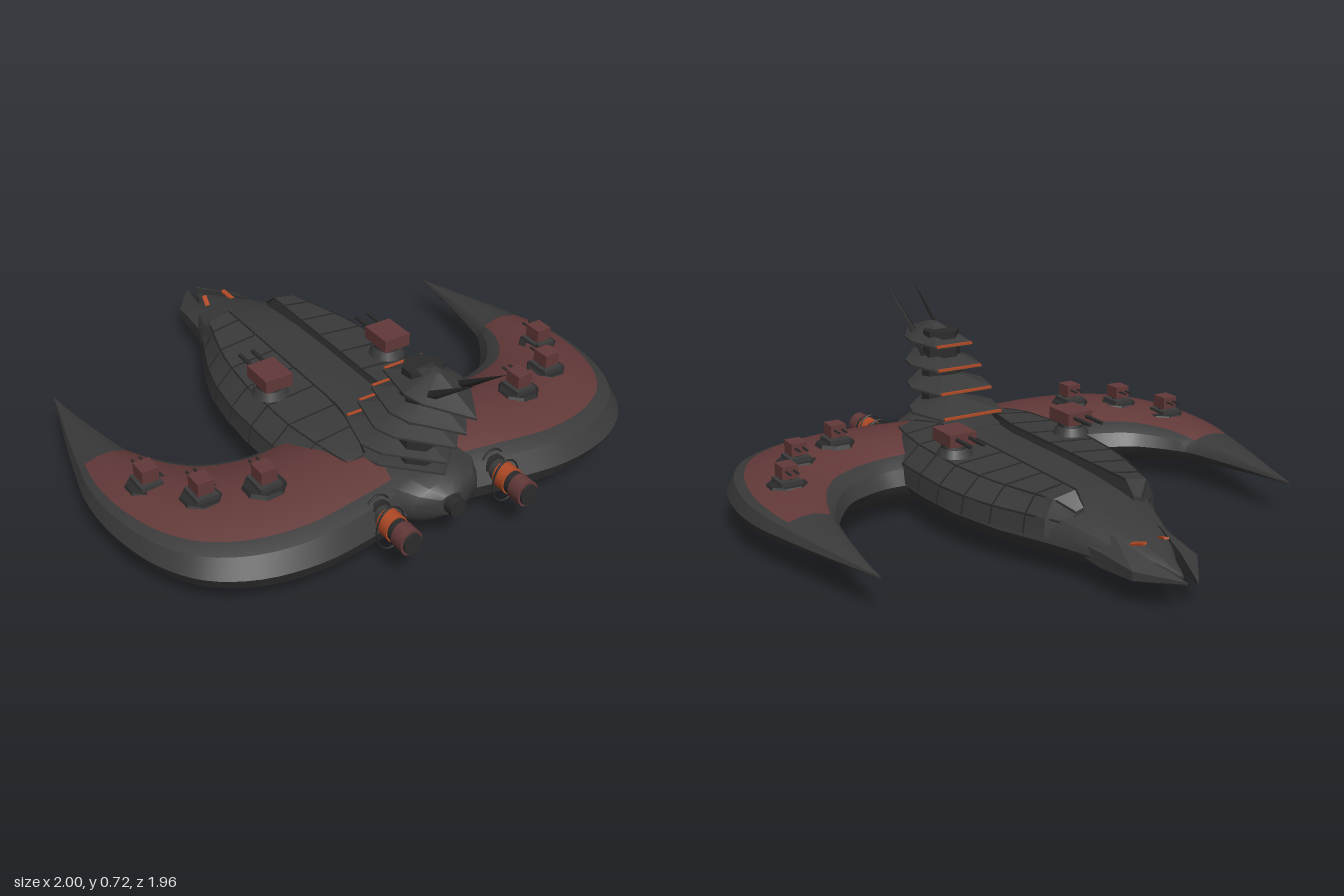
import * as THREE from 'three';
import { toCreasedNormals } from 'three/addons/utils/BufferGeometryUtils.js';

const paint = (name, color) => Object.assign(new THREE.MeshStandardMaterial({ color }), { name });
const HULL = paint('charcoal hull', 0x3a3a3a);
const RED = paint('dull red armour', 0x633939);
const ORANGE = paint('orange glow', 0xb04a26);
const DARK = paint('dark metal', 0x2b2b2b);

// Skin a row of closed rings; pick(i, j) chooses a material index per quad.
function loft(rings, { cap = true, crease = 0.5, pick = () => 0 } = {}) {
  const n = rings[0].length, buckets = [[], []];
  const id = (i, j) => i * n + (j % n);
  for (let i = 0; i < rings.length - 1; i++) {
    for (let j = 0; j < n; j++) {
      buckets[pick(i, j)].push(id(i, j), id(i, j + 1), id(i + 1, j + 1), id(i, j), id(i + 1, j + 1), id(i + 1, j));
    }
  }
  const last = rings.length - 1;
  for (let j = 1; cap && j < n - 1; j++) {
    buckets[0].push(0, j + 1, j, id(last, 0), id(last, j), id(last, j + 1));
  }
  const geo = new THREE.BufferGeometry();
  geo.setAttribute('position', new THREE.Float32BufferAttribute(rings.flat(2), 3));
  geo.setIndex(buckets.flat());
  if (buckets[1].length) {
    geo.addGroup(0, buckets[0].length, 0);
    geo.addGroup(buckets[0].length, buckets[1].length, 1);
  }
  return toCreasedNormals(geo, crease);
}

function add(parent, name, geo, mat, x = 0, y = 0, z = 0) {
  const mesh = new THREE.Mesh(geo, mat);
  mesh.name = name;
  mesh.position.set(x, y, z);
  parent.add(mesh);
  return mesh;
}
const box = (w, h, d) => new THREE.BoxGeometry(w, h, d);
const tubeZ = (r1, r2, len, sides = 16) => new THREE.CylinderGeometry(r1, r2, len, sides).rotateX(Math.PI / 2);

// Main hull: z, half width, edge height, top, bottom
function hullGeometry() {
  const stations = [
    [-0.93, 0.006, 0.11, 0.118, 0.104], [-0.85, 0.04, 0.11, 0.145, 0.09], [-0.7, 0.135, 0.115, 0.185, 0.06],
    [-0.5, 0.21, 0.12, 0.235, 0.035], [-0.3, 0.3, 0.125, 0.25, 0.02], [-0.1, 0.355, 0.13, 0.255, 0.008],
    [0.1, 0.37, 0.13, 0.255, 0], [0.3, 0.365, 0.13, 0.255, 0], [0.45, 0.33, 0.135, 0.255, 0.004],
    [0.6, 0.25, 0.14, 0.255, 0.02], [0.72, 0.185, 0.15, 0.25, 0.05], [0.79, 0.13, 0.16, 0.235, 0.09],
    [0.825, 0.05, 0.165, 0.205, 0.125]];
  const right = [[0.3, -0.98], [0.65, -0.8], [0.9, -0.42], [1, 0], [0.97, 0.35], [0.85, 0.72], [0.55, 0.93], [0.25, 1]];
  const profile = [...right, ...right.map(([x, y]) => [-x, y]).reverse()];
  return loft(stations.map(([z, w, e, t, b]) =>
    profile.map(([x, y]) => [x * w, e + y * (y > 0 ? t - e : e - b), z])), { crease: 0.6 });
}

// Crescent wing: outer x, z, inner x, z, top, bottom
function wingGeometry() {
  const stations = [
    [0.1, 0.76, 0.1, 0.24, 0.262, 0.004], [0.3, 0.8, 0.36, 0.24, 0.26, 0.005], [0.5, 0.82, 0.45, 0.24, 0.252, 0.01],
    [0.7, 0.785, 0.54, 0.215, 0.246, 0.018], [0.85, 0.695, 0.61, 0.18, 0.24, 0.028], [0.94, 0.56, 0.66, 0.13, 0.232, 0.04],
    [0.985, 0.4, 0.695, 0.085, 0.224, 0.05], [1, 0.25, 0.715, 0.055, 0.215, 0.06], [0.99, 0.1, 0.733, 0.025, 0.205, 0.07],
    [0.967, 0, 0.748, 0, 0.195, 0.08], [0.925, -0.17, 0.785, -0.16, 0.178, 0.1], [0.88, -0.33, 0.812, -0.32, 0.16, 0.118],
    [0.836, -0.49, 0.834, -0.49, 0.142, 0.135]];
  const curve = (a, b, c) => new THREE.CatmullRomCurve3(stations.map(s => new THREE.Vector3(s[a], s[b], s[c])));
  const outer = curve(0, 4, 1), inner = curve(2, 5, 3);
  const across = [[0, 0], [0.05, 0.45], [0.14, 0.74], [0.4, 1], [0.62, 0.97], [0.84, 0.76], [0.93, 0.58]];
  const under = [[1, 0], [0.94, 0.5], [0.8, 0.72], [0.55, 0.95], [0.35, 1], [0.14, 0.75], [0.05, 0.4]];
  const step = 4, count = (stations.length - 1) * step, rings = [];
  for (let i = 0; i <= count; i++) {
    const o = outer.getPoint(i / count), n = inner.getPoint(i / count), edge = 0.135;
    const at = (u, y) => [n.x + (o.x - n.x) * u, y, n.z + (o.z - n.z) * u];
    rings.push([...across.map(([u, h]) => at(u, edge + h * (o.y - edge))),
      ...under.map(([u, h]) => at(u, edge - h * (edge - n.y)))]);
  }
  const pick = (i, j) => (i < 9 * step && j >= 2 && j <= 4 ? 1 : 0);
  return loft(rings, { crease: 0.45, pick });
}

// Raised side deck: z, outer x, inner x, height factor
const DECK = [[-0.525, 0.15, 0.1, 0.68], [-0.475, 0.225, 0.1, 1], [-0.3, 0.302, 0.1, 1], [-0.18, 0.342, 0.1, 1],
  [0, 0.369, 0.1, 1], [0.27, 0.37, 0.1, 1], [0.45, 0.325, 0.13, 1], [0.56, 0.26, 0.17, 0.9]];
function deckRing(z) {
  const k = Math.max(1, DECK.findIndex(s => s[0] >= z)), a = DECK[k - 1], b = DECK[k];
  const t = (z - a[0]) / (b[0] - a[0]);
  const [, w, inn, h] = a.map((v, i) => v + (b[i] - v) * t);
  const y = v => 0.14 + (v - 0.14) * h;
  return [[inn, 0.15, z], [w + 0.003, 0.14, z], [w * 0.98, y(0.205), z], [inn + (w - inn) * 0.72, y(0.268), z], [inn, y(0.285), z]];
}
function seam(points) {
  const path = new THREE.CurvePath();
  const v = points.map(p => new THREE.Vector3(...p));
  for (let i = 1; i < v.length; i++) path.add(new THREE.LineCurve3(v[i - 1], v[i]));
  return new THREE.TubeGeometry(path, 16, 0.004, 4);
}

// Gun turret with twin barrels pointing forward
function turret(parent, name, x, y, z, w, h, d, barrel) {
  const g = new THREE.Group();
  g.name = name;
  g.position.set(x, y, z);
  add(g, 'gunHouse', box(w, h, d), RED, 0, h / 2, 0);
  add(g, 'turretNeck', new THREE.CylinderGeometry(w * 0.42, w * 0.55, 0.05, 10), DARK, 0, -0.02, 0);
  for (const s of [-1, 1]) add(g, 'barrel', tubeZ(w * 0.07, w * 0.07, barrel, 8), DARK, s * w * 0.24, h * 0.6, -d / 2 - barrel / 2);
  parent.add(g);
  return g;
}

function buildSide(side) {
  add(side, 'wing', wingGeometry(), [HULL, RED]);

  // Side deck and its panel seams
  add(side, 'sideDeck', loft(DECK.map(s => deckRing(s[0])), { crease: 0.3 }), HULL);
  for (const z of [-0.4, -0.27, -0.14, 0, 0.14, 0.28, 0.42]) add(side, 'deckSeam', seam(deckRing(z).slice(1)), DARK);
  for (const j of [2, 3, 4]) add(side, 'deckSeam', seam(DECK.map(s => deckRing(s[0])[j])), DARK);

  // Turrets
  const main = turret(side, 'mainTurret', 0.25, 0.325, 0.085, 0.108, 0.048, 0.13, 0.1);
  add(main, 'turretBase', new THREE.CylinderGeometry(0.055, 0.068, 0.03, 12), HULL, 0, -0.032, 0);
  for (const [x, y, z] of [[0.825, 0.247, 0.26], [0.715, 0.265, 0.435], [0.525, 0.282, 0.51]]) {
    const t = turret(side, 'wingTurret', x, y, z, 0.06, 0.048, 0.068, 0.04);
    const pad = new THREE.CylinderGeometry(0.07, 0.09, 0.04, 8).rotateY(Math.PI / 8);
    add(t, 'turretPad', toCreasedNormals(pad, 0.3), DARK, 0, -0.042, 0);
    add(t, 'turretStep', box(0.08, 0.02, 0.09), HULL, 0, -0.016, 0);
  }

  // Engine pod with a guard hoop
  const engine = new THREE.Group();
  engine.name = 'engine';
  engine.position.set(0.235, 0.172, 0);
  const parts = [['engineBody', HULL, 0.036, 0.58, 0.79], ['engineBand', ORANGE, 0.039, 0.7, 0.715],
    ['engineCollar', DARK, 0.043, 0.74, 0.76], ['engineBand', ORANGE, 0.043, 0.79, 0.845],
    ['engineCollar', DARK, 0.038, 0.845, 0.87], ['engineNozzle', RED, 0.042, 0.87, 0.925], ['engineMouth', DARK, 0.034, 0.92, 0.935]];
  for (const [name, mat, r, a, b] of parts) add(engine, name, tubeZ(r, r, b - a), mat, 0, 0, (a + b) / 2).scale.y = 1.15;
  for (const z of [0.735, 0.81]) {
    add(engine, 'guardHoop', new THREE.TorusGeometry(0.082, 0.004, 6, 32), DARK, 0, -0.016, z).scale.x = 0.66;
  }
  side.add(engine);

  // Nose prong and eye
  const prong = [[-0.98, 0.018, 0.026, 0.1, 0.115], [-0.84, 0.06, 0.13, 0.085, 0.15], [-0.69, 0.09, 0.147, 0.08, 0.185], [-0.58, 0.1, 0.165, 0.1, 0.18]];
  add(side, 'noseProng', loft(prong.map(([z, a, b, lo, hi]) =>
    [[a, lo, z], [b, lo + 0.01, z], [b, (lo + hi) / 2 + 0.01, z], [a, hi, z]]), { crease: 0.2 }), HULL);
  const eye = add(side, 'eye', box(0.018, 0.008, 0.06), ORANGE, 0.05, 0.177, -0.76);
  eye.rotation.set(0.3, 0.25, -0.2);

  // Tower spike
  const spike = add(side, 'towerSpike', new THREE.ConeGeometry(0.025, 0.42, 4), DARK, 0.057, 0.605, 0.805);
  spike.rotation.x = Math.atan2(0.35, 0.25);
}

export function createModel() {
  const model = new THREE.Group();
  model.name = 'warship';
  add(model, 'hull', hullGeometry(), HULL);
  add(model, 'sternPipe', tubeZ(0.033, 0.038, 0.08), DARK, 0, 0.168, 0.82);

  // Left and right halves
  for (const s of [1, -1]) {
    const side = new THREE.Group();
    side.name = s > 0 ? 'leftSide' : 'rightSide';
    side.scale.x = s;
    buildSide(side);
    model.add(side);
  }

  // Tower: core and stacked pointed roofs
  const tower = new THREE.Group();
  tower.name = 'tower';
  const core = toCreasedNormals(new THREE.CylinderGeometry(0.07, 0.088, 0.36, 8).rotateY(Math.PI / 8), 0.3);
  add(tower, 'towerCore', core, DARK, 0, 0.42, 0.635);
  // y, half width, front z, tip z, rise
  const roofs = [[0.25, 0.18, 0.385, 0.78, 0.03], [0.3, 0.178, 0.39, 0.79, 0.05], [0.385, 0.158, 0.44, 0.83, 0.055],
    [0.465, 0.135, 0.49, 0.875, 0.06], [0.548, 0.11, 0.53, 0.92, 0.07]];
  roofs.forEach(([y, w, front, tip, rise], i) => {
    const mid = front + (tip - front) * 0.45;
    const plan = [[0, tip], [w * 0.85, mid + 0.06], [w, mid - 0.02], [w * 0.75, front], [-w * 0.75, front], [-w, mid - 0.02], [-w * 0.85, mid + 0.06]];
    const ring = (k, h) => plan.map(([x, z]) => [x * k, y + h, mid + (z - mid) * k]);
    add(tower, 'towerRoof', loft([ring(1, 0), ring(1, 0.008), ring(0.12, rise)], { crease: 0.2 }), HULL);
    if (i) add(tower, 'roofLight', box(w * 1.4, 0.009, 0.012), ORANGE, 0, y + 0.008, front);
  });
  model.add(tower);
  return model;
}
